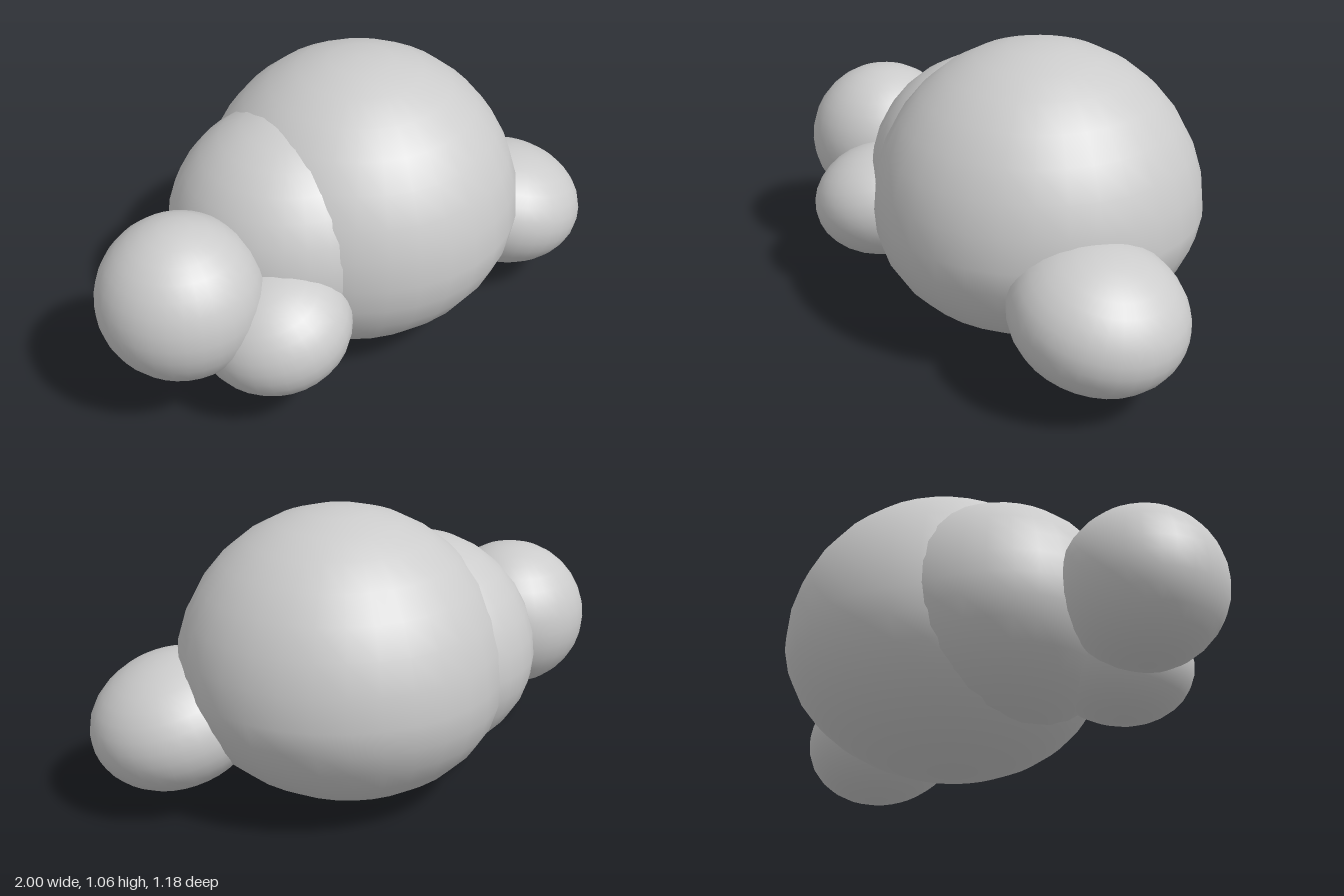
import * as THREE from 'three';

const material = new THREE.MeshStandardMaterial({ color: 0xcccccc });

// Smooth ball whose lower half is flattened and may lean sideways
function blob(name, [x, y, z], radius, lowerHeight, lean = 0) {
  const geometry = new THREE.SphereGeometry(radius, 32, 16);
  const p = geometry.attributes.position;
  const n = geometry.attributes.normal;
  const squash = lowerHeight / radius;
  for (let i = 0; i < p.count; i++) {
    if (p.getY(i) >= 0) continue;
    const py = p.getY(i) * squash;
    p.setXYZ(i, p.getX(i) + lean * py, py, p.getZ(i));
    // Matching normal of the squashed, leaning half
    const nx = n.getX(i);
    const v = new THREE.Vector3(nx, n.getY(i) / squash - lean * nx, n.getZ(i)).normalize();
    n.setXYZ(i, v.x, v.y, v.z);
  }
  const mesh = new THREE.Mesh(geometry, material);
  mesh.name = name;
  mesh.position.set(x, y, z);
  return mesh;
}

// Ellipsoid foot, its outer end tipped down
function foot(name, [x, y, z], [rx, ry, rz], tilt) {
  const geometry = new THREE.SphereGeometry(1, 32, 16).scale(rx, ry, rz).rotateZ(tilt);
  const mesh = new THREE.Mesh(geometry, material);
  mesh.name = name;
  mesh.position.set(x, y, z);
  return mesh;
}

export function createModel() {
  const model = new THREE.Group();
  model.name = 'blobCluster';
  model.add(
    // Three overlapping balls from large to small
    blob('largeBody', [0.15, 0.47, 0], 0.59, 0.47, 0.1),
    blob('middleBody', [-0.15, 0.475, -0.04], 0.45, 0.385),
    blob('endBall', [-0.71, 0.475, 0.03], 0.29, 0.28),
    // Two stubby feet
    foot('leftFoot', [0.695, 0.325, 0.25], [0.31, 0.235, 0.3], -0.26),
    foot('rightFoot', [-0.465, 0.34, 0.215], [0.27, 0.22, 0.285], 0.26)
  );
  return model;
}
